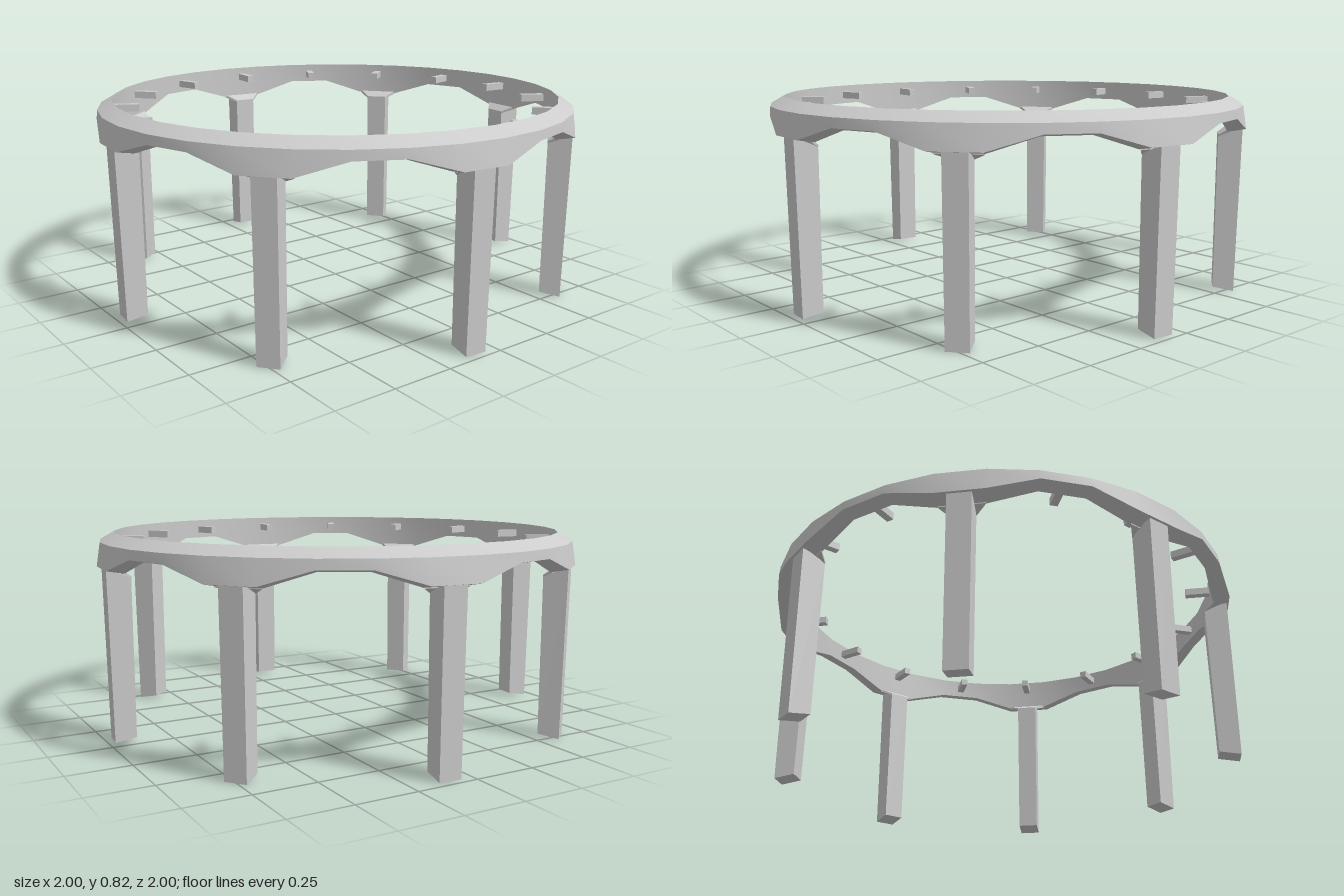
import * as THREE from 'three';
import { toCreasedNormals } from 'three/addons/utils/BufferGeometryUtils.js';

const SEGMENTS = 32;
const STEP = (Math.PI * 2) / SEGMENTS;
const material = new THREE.MeshStandardMaterial({ color: 0xcccccc });

// Ring: a four-point section swept round, dipping where a leg meets it
function ringGeometry() {
  const positions = [], index = [];
  for (let i = 0; i < SEGMENTS; i++) {
    const low = i % 4 < 2;
    const section = [
      [0.925, 0.82],
      [0.985, 0.785],
      low ? [1.0, 0.69] : [0.988, 0.747],
      low ? [0.928, 0.677] : [0.928, 0.735],
    ];
    for (const [r, y] of section) {
      positions.push(r * Math.sin(-i * STEP), y, r * Math.cos(-i * STEP));
    }
    for (let p = 0; p < 4; p++) {
      const next = ((i + 1) % SEGMENTS) * 4, q = (p + 1) % 4;
      const a = i * 4 + p, b = i * 4 + q, c = next + p, d = next + q;
      index.push(a, c, b, b, c, d);
    }
  }
  const geometry = new THREE.BufferGeometry();
  geometry.setAttribute('position', new THREE.Float32BufferAttribute(positions, 3));
  geometry.setIndex(index);
  return toCreasedNormals(geometry, 0.5);
}

// Block whose inner and outer ends are given as { top: [halfWidth, y, r], bottom: [...] }
function block(inner, outer) {
  const geometry = new THREE.BoxGeometry(2, 2, 2);
  const pos = geometry.attributes.position;
  for (let i = 0; i < pos.count; i++) {
    const end = pos.getZ(i) > 0 ? outer : inner;
    const [w, y, r] = pos.getY(i) > 0 ? end.top : end.bottom;
    pos.setXYZ(i, Math.sign(pos.getX(i)) * w, y, r);
  }
  geometry.computeVertexNormals();
  return geometry;
}

export function createModel() {
  const model = new THREE.Group();
  const add = (name, geometry, angle = 0) => {
    const mesh = new THREE.Mesh(geometry, material);
    mesh.name = name;
    mesh.rotation.y = angle;
    model.add(mesh);
  };

  add('ring', ringGeometry());

  const leg = block(
    { top: [0.046, 0.655, 0.89], bottom: [0.044, 0.015, 0.89] },
    { top: [0.046, 0.695, 0.986], bottom: [0.044, 0, 0.975] },
  );
  // Flared support between the leg top and the inner wall of the ring
  const bracket = block(
    { top: [0.046, 0.661, 0.889], bottom: [0.046, 0.652, 0.889] },
    { top: [0.09, 0.688, 0.93], bottom: [0.09, 0.674, 0.93] },
  );
  const peg = block(
    { top: [0.015, 0.79, 0.82], bottom: [0.015, 0.76, 0.82] },
    { top: [0.015, 0.79, 0.94], bottom: [0.015, 0.76, 0.94] },
  );

  // Legs sit in the middle of every fourth ring segment, pegs at every second
  for (let i = 0; i < SEGMENTS; i += 2) {
    const angle = -(i + 0.5) * STEP;
    add('peg', peg, angle);
    if (i % 4 === 0) {
      add('leg', leg, angle);
      add('legBracket', bracket, angle);
    }
  }
  return model;
}
